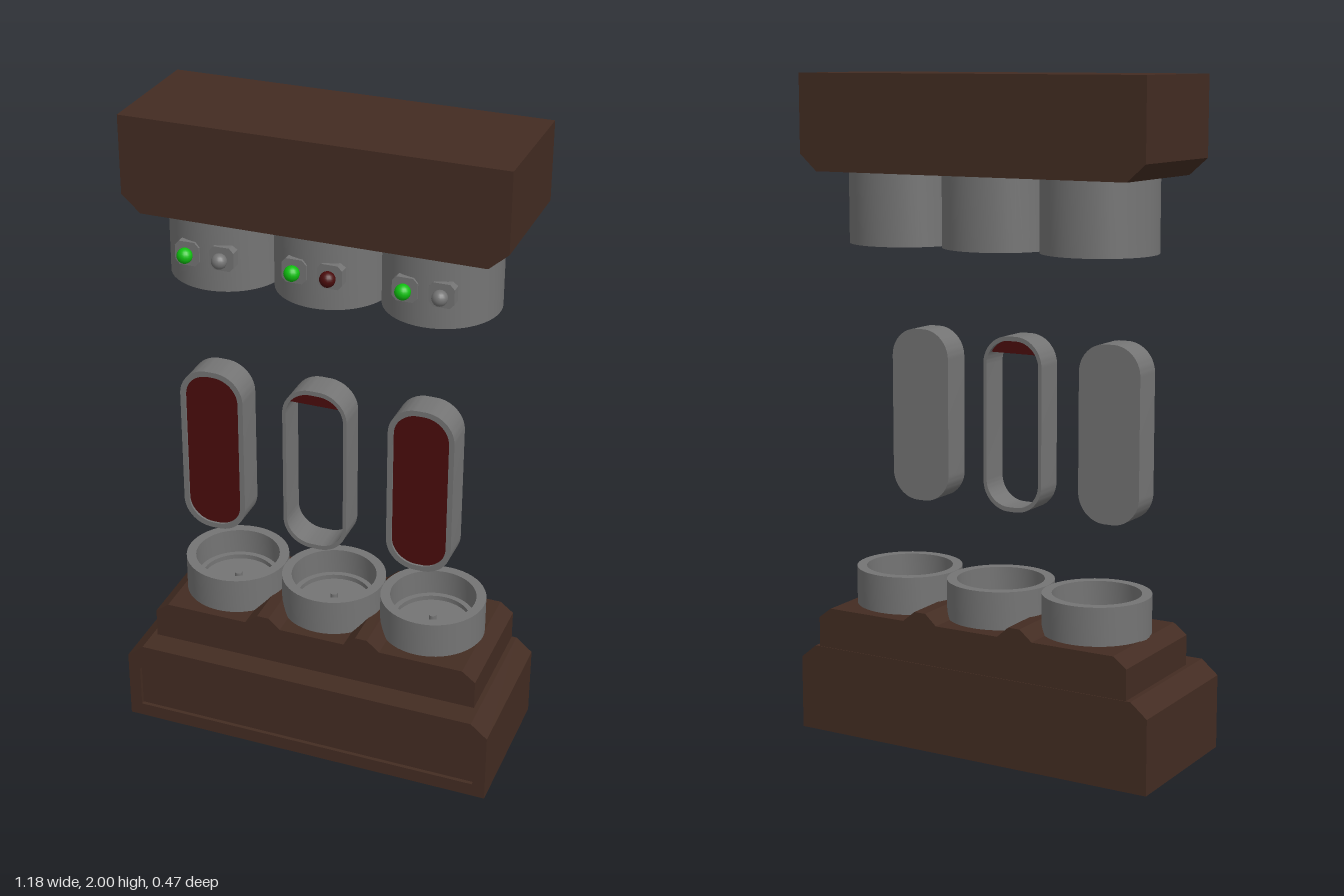
import * as THREE from 'three';
import { toCreasedNormals } from 'three/addons/utils/BufferGeometryUtils.js';

export function createModel() {
  const model = new THREE.Group();
  const mat = (name, color) => {
    const m = new THREE.MeshStandardMaterial({ color });
    m.name = name;
    return m;
  };
  const brown = mat('brown casing', 0x432c22);
  const grey = mat('grey metal', 0x747474);
  const red = mat('dark red', 0x4a0c0c);
  const green = mat('green light', 0x10c010);

  const add = (name, geometry, material, x = 0, y = 0, z = 0) => {
    const mesh = new THREE.Mesh(geometry, material);
    mesh.name = name;
    mesh.position.set(x, y, z);
    model.add(mesh);
    return mesh;
  };
  const poly = (pts) => new THREE.Shape(pts.map(([x, y]) => new THREE.Vector2(x, y)));
  // Extrude a shape between two depths
  const slab = (shape, z0, z1) => {
    const g = new THREE.ExtrudeGeometry(shape, { depth: z1 - z0, bevelEnabled: false, curveSegments: 10 });
    return toCreasedNormals(g.translate(0, 0, z0), 0.6);
  };
  // Mirror a right-hand outline (bottom to top) into a closed symmetric one
  const mirrored = (half) => [...half, ...half.slice().reverse().map(([x, y]) => [-x, y])];
  const lathe = (pts) =>
    toCreasedNormals(new THREE.LatheGeometry(pts.map(([r, y]) => new THREE.Vector2(r, y)), 48), 0.6);
  const stadium = (Type, w, h, r) => {
    const s = new Type(), a = w / 2, b = h / 2;
    s.moveTo(a, -b + r);
    s.lineTo(a, b - r);
    s.absarc(a - r, b - r, r, 0, Math.PI / 2);
    s.absarc(-a + r, b - r, r, Math.PI / 2, Math.PI);
    s.absarc(-a + r, -b + r, r, Math.PI, Math.PI * 1.5);
    s.absarc(a - r, -b + r, r, Math.PI * 1.5, Math.PI * 2);
    return s;
  };

  // Lower casing: base with a shallow recessed front panel
  const baseOutline = mirrored([[0.592, 0], [0.592, 0.225], [0.54, 0.268]]);
  const panelOutline = mirrored([[0.553, 0.043], [0.553, 0.18], [0.5, 0.232]]);
  add('baseBody', slab(poly(baseOutline), -0.237, 0.225), brown);
  const frame = poly(baseOutline);
  frame.holes.push(poly(panelOutline));
  add('basePanelFrame', slab(frame, 0.225, 0.237), brown);

  // Stepped tier with two ridges between the cups
  add('baseTier', slab(poly(mirrored([
    [0.525, 0.26], [0.525, 0.36], [0.483, 0.392], [0.22, 0.392],
    [0.18, 0.425], [0.142, 0.425], [0.105, 0.392],
  ])), -0.235, 0.158), brown);

  // Upper casing
  add('topCasing', slab(poly(mirrored([[0.51, 1.715], [0.567, 1.765], [0.567, 2]])), -0.235, 0.158), brown);

  const cupGeo = lathe([[0.162, 0.36], [0.162, 0.507], [0.132, 0.507], [0.132, 0.425],
    [0.115, 0.425], [0.115, 0.41], [0, 0.41]]);
  const socketGeo = lathe([[0, 1.62], [0.115, 1.62], [0.115, 1.6], [0.135, 1.6],
    [0.135, 1.5], [0.171, 1.5], [0.171, 1.73]]);
  const pinGeo = new THREE.CylinderGeometry(0.012, 0.012, 0.03, 12);
  const mountGeo = slab(poly(mirrored([[0.024, -0.036], [0.037, -0.022], [0.037, 0.022], [0.024, 0.036]])), 0.08, 0.142);
  const stemGeo = new THREE.CylinderGeometry(0.017, 0.017, 0.03, 12).rotateX(Math.PI / 2);
  const bulbGeo = new THREE.SphereGeometry(0.023, 16, 12);

  [-0.325, 0, 0.325].forEach((x, i) => {
    add('lowerCup', cupGeo, grey, x, 0, -0.034);
    add('cupPin', pinGeo, grey, x, 0.42, -0.034);
    add('upperSocket', socketGeo, grey, x, 0, -0.034);

    // Pair of indicator lights on each socket
    [-0.053, 0.053].forEach((dx, side) => {
      const colour = side === 0 ? green : i === 1 ? red : grey;
      add('lightMount', mountGeo, grey, x + dx, 1.607, 0);
      add('lightStem', stemGeo, grey, x + dx, 1.607, 0.145);
      add('lightBulb', bulbGeo, colour, x + dx, 1.607, 0.158);
    });

    // Pill-shaped frame
    const open = i === 1;
    const ring = stadium(THREE.Shape, 0.2, 0.533, 0.088);
    const w = open ? 0.178 : 0.168, h = open ? 0.505 : 0.5;
    ring.holes.push(stadium(THREE.Path, w, h, 0.076));
    add('pillFrame', slab(ring, 0.032, 0.127), grey, x, 0.963, 0);
    if (open) {
      // Retracted shutter at the top of the open frame
      const lid = new THREE.Shape();
      lid.moveTo(-0.086, 0.214);
      lid.lineTo(0.086, 0.214);
      lid.quadraticCurveTo(0.065, 0.254, 0.013, 0.254);
      lid.lineTo(-0.013, 0.254);
      lid.quadraticCurveTo(-0.065, 0.254, -0.086, 0.214);
      add('retractedShutter', slab(lid, 0.045, 0.114), red, x, 0.963, 0);
    } else {
      const inner = stadium(THREE.Shape, 0.17, 0.502, 0.077);
      add('pillBack', slab(inner, 0.032, 0.112), grey, x, 0.963, 0);
      add('pillFace', slab(inner, 0.112, 0.12), red, x, 0.963, 0);
    }
  });

  return model;
}
